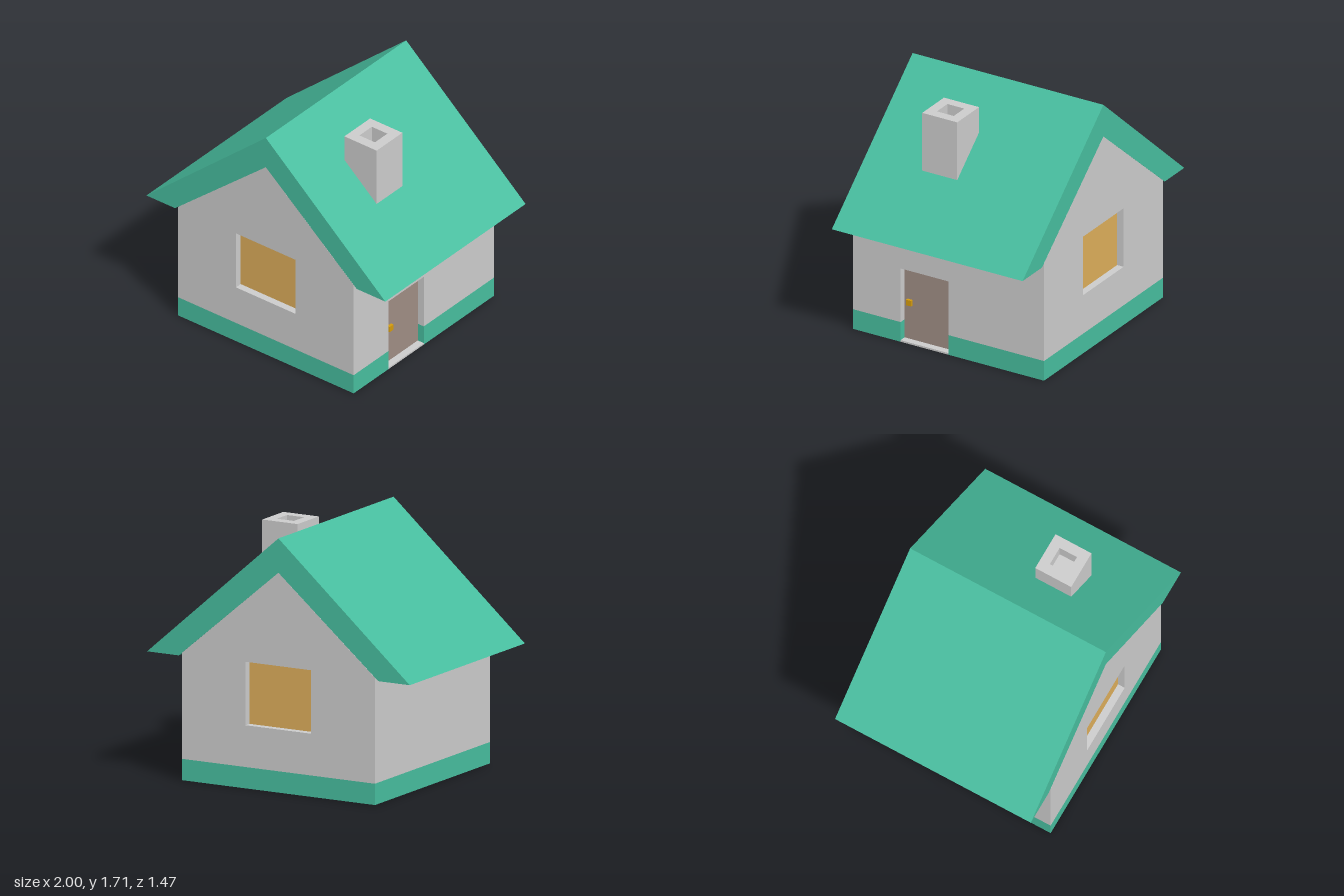
import * as THREE from 'three';

const HALF = 0.735;      // half width of the square house
const BAND = 0.145;      // height of the painted base band
const EAVE = 0.835;
const T = 0.055;         // wall thickness = depth of the window and door recesses
const WALL_TOP = 0.855;

const paint = (color) => new THREE.MeshStandardMaterial({ color, flatShading: true });

function polygon(points, hole) {
  const shape = new THREE.Shape(points.map(([x, y]) => new THREE.Vector2(x, y)));
  if (hole) shape.holes.push(new THREE.Path(hole.map(([x, y]) => new THREE.Vector2(x, y))));
  return shape;
}

const rect = (x0, x1, y0, y1) => [[x0, y0], [x1, y0], [x1, y1], [x0, y1]];

function extrude(shape, depth, material, name) {
  const geometry = new THREE.ExtrudeGeometry(shape, { depth, bevelEnabled: false });
  const mesh = new THREE.Mesh(geometry, material);
  mesh.name = name;
  return mesh;
}

function box(name, material, w, h, d, x, y, z) {
  const mesh = new THREE.Mesh(new THREE.BoxGeometry(w, h, d), material);
  mesh.name = name;
  mesh.position.set(x, y, z);
  return mesh;
}

export function createModel() {
  const house = new THREE.Group();
  house.name = 'house';

  const grey = paint(0xcccccc);
  const green = paint(0x47bd9e);
  const glass = paint(0xdcad5a);
  const wood = paint(0x9f8d84);
  const brass = paint(0xd49b0d);

  // One side of the house, modelled facing +z and then turned into place
  function side(name, angle) {
    const group = new THREE.Group();
    group.name = name;
    group.rotation.y = angle;
    house.add(group);
    return (points, material, partName, hole) => {
      const mesh = extrude(polygon(points, hole), T, material, partName);
      mesh.position.z = HALF - T;
      group.add(mesh);
      return group;
    };
  }

  // Front and back gables, each with a recessed window
  const gable = [[-HALF, BAND], [HALF, BAND], [HALF, WALL_TOP], [0, 1.475], [-HALF, WALL_TOP]];
  const opening = rect(-0.25, 0.25, 0.425, 0.85);
  for (const [name, angle] of [['frontWall', 0], ['backWall', Math.PI]]) {
    const add = side(name, angle);
    add(gable, grey, 'gable', opening);
    const group = add(rect(-HALF, HALF, 0.002, BAND), green, 'baseBand');
    group.add(box('windowPane', glass, 0.5, 0.425, 0.01, 0, 0.6375, HALF - T));
  }

  // Plain side wall
  const W = HALF - T;
  const addPlain = side('plainWall', -Math.PI / 2);
  addPlain(rect(-W, W, BAND, WALL_TOP), grey, 'wall');
  addPlain(rect(-W, W, 0.002, BAND), green, 'baseBand');

  // Side wall with the recessed door, its sill and knob
  const [d0, d1, doorTop, sill] = [-0.37, 0, 0.535, 0.014];
  const addDoor = side('doorWall', Math.PI / 2);
  addDoor([[-W, BAND], [d0, BAND], [d0, doorTop], [d1, doorTop], [d1, BAND],
    [W, BAND], [W, WALL_TOP], [-W, WALL_TOP]], grey, 'wall');
  addDoor(rect(-W, d0, 0.002, BAND), green, 'baseBand');
  addDoor(rect(d1, W, 0.002, BAND), green, 'baseBand');
  const doorWall = addDoor(rect(d0, d1, 0.002, sill), grey, 'doorSill');
  doorWall.add(
    box('door', wood, d1 - d0, doorTop - sill, 0.01, (d0 + d1) / 2, (doorTop + sill) / 2, HALF - T),
    box('knobStem', brass, 0.02, 0.02, 0.02, -0.318, 0.29, HALF - T + 0.012),
    box('doorKnob', brass, 0.04, 0.04, 0.02, -0.318, 0.29, HALF - T + 0.03),
  );

  // Floor underside
  const floor = new THREE.Mesh(new THREE.PlaneGeometry(2 * HALF, 2 * HALF), grey);
  floor.name = 'floor';
  floor.rotation.x = Math.PI / 2;
  house.add(floor);

  // Chevron roof, flush with the gables
  const roof = extrude(polygon([[-1, EAVE], [-0.76, EAVE], [0, 1.475], [0.76, EAVE], [1, EAVE], [0, 1.705]]),
    2 * HALF, green, 'roof');
  roof.position.z = -HALF;
  house.add(roof);

  // Chimney with a sloping foot inside the roof and a square flue
  const chimney = new THREE.Group();
  chimney.name = 'chimney';
  chimney.position.set(0.445, 0, 0.165);
  const c = 0.135, f = 0.065, top = 1.62, flueFloor = 1.5;
  const stack = extrude(polygon([[-c, 1.4], [c, 1.17], [c, flueFloor], [-c, flueFloor]]), 2 * c, grey, 'stack');
  stack.position.z = -c;
  const rim = extrude(polygon(rect(-c, c, -c, c), rect(-f, f, -f, f)), top - flueFloor, grey, 'flueRim');
  rim.rotation.x = -Math.PI / 2;
  rim.position.y = flueFloor;
  chimney.add(stack, rim);
  house.add(chimney);

  return house;
}
